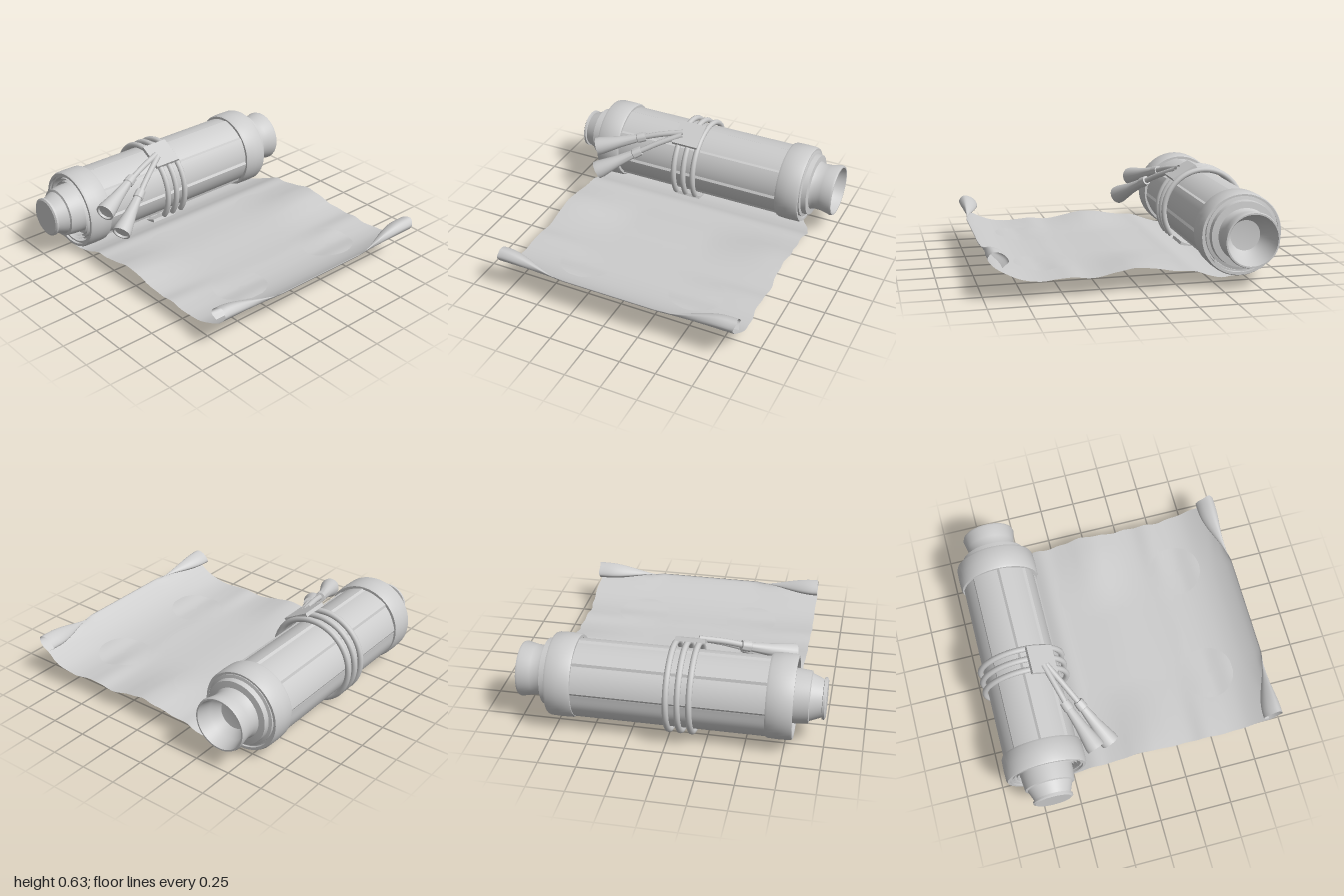
import * as THREE from 'three';
import { toCreasedNormals } from 'three/addons/utils/BufferGeometryUtils.js';

const CX = -0.68, CY = 0.32; // axis of the roll, parallel to z
const clay = new THREE.MeshStandardMaterial({ color: 0xcccccc, side: THREE.DoubleSide });
clay.name = 'pale grey';

const smooth = THREE.MathUtils.smoothstep;
const lerp = THREE.MathUtils.lerp;
const V = (x, y, z) => new THREE.Vector3(x, y, z);

// height of the open sheet: ripples are strongest along the two long edges
function height(x, z) {
  const edge = 0.2 + 0.8 * smooth(Math.abs(z), 0.25, 0.8);
  const bump = 0.05 * Math.exp(-(((x - 0.02) / 0.2) ** 2)) + 0.018 * Math.exp(-(((x - 0.48) / 0.08) ** 2));
  return 0.121 + edge * bump + 0.02 * smooth(x, 0.6, 0.75);
}

// cross-section of the sheet at depth z: under the roll, flat, then curling at the end
function sheetCurve(z) {
  const pts = [];
  for (let a = -180; a <= -80; a += 20) {
    const r = lerp(0.255, 0.275, (a + 180) / 100), t = a * Math.PI / 180;
    pts.push(V(CX + r * Math.cos(t), CY + r * Math.sin(t), z));
  }
  pts.push(V(-0.54, 0.058, z), V(-0.45, 0.085, z));
  for (let i = 0; i <= 11; i++) {
    const x = -0.35 + i * 0.1;
    pts.push(V(x, height(x, z), z));
  }
  const open = [[0.83, 0.165], [0.89, 0.193], [0.94, 0.224], [0.965, 0.245], [0.972, 0.253], [0.975, 0.259], [0.974, 0.263]];
  const curled = [[0.87, 0.19], [0.94, 0.235], [0.978, 0.29], [0.945, 0.332], [0.88, 0.312], [0.848, 0.265], [0.89, 0.23]];
  const t = smooth(Math.abs(z + 0.03), 0.33, 0.8);
  open.forEach((p, i) => pts.push(V(lerp(p[0], curled[i][0], t), lerp(p[1], curled[i][1], t), z)));
  return new THREE.CatmullRomCurve3(pts);
}

function sheetGeometry() {
  const nu = 120, nv = 48;
  const g = new THREE.PlaneGeometry(1, 1, nu, nv);
  const pos = g.attributes.position;
  for (let j = 0; j <= nv; j++) {
    for (let i = 0; i <= nu; i++) {
      const u = i / nu;
      // slightly ragged edges, narrower where the sheet goes under the roll
      const wear = 0.006 * Math.sin(u * 41) + 0.004 * Math.sin(u * 97 + 1);
      const back = lerp(-0.76, -0.88, smooth(u, 0.15, 0.3)) + wear - 0.015 * smooth(u, 0.6, 0.75);
      const z = lerp(back, 0.797 + wear * 0.4, j / nv);
      sheetGeometry.cache ??= new Map();
      const p = sheetCurve(z).getPoint(u);
      pos.setXYZ(j * (nu + 1) + i, p.x, p.y, z);
    }
  }
  g.computeVertexNormals();
  return g;
}

// flat medallion or ring that follows the sheet
function medallion(x, z, rx, rz, inner, lift) {
  const g = new THREE.RingGeometry(inner, 1, 48, 6);
  const pos = g.attributes.position;
  for (let i = 0; i < pos.count; i++) {
    const px = x + pos.getX(i) * rx, pz = z - pos.getY(i) * rz;
    pos.setXYZ(i, px, height(px, pz) + lift, pz);
  }
  g.computeVertexNormals();
  return g;
}

// turned part along z from [radius, z] pairs
function turned(points, segments = 56) {
  const g = new THREE.LatheGeometry(points.map(([r, z]) => new THREE.Vector2(r, z)), segments);
  g.rotateX(Math.PI / 2);
  return toCreasedNormals(g, 0.55);
}

// roll body: overlapping lengthwise layers with shallow steps
function bodyGeometry() {
  const shape = new THREE.Shape(), n = 96;
  for (let i = 0; i < n; i++) {
    const a = i / n * Math.PI * 2;
    const r = 0.246 + 0.011 * ((i % 12) / 11) ** 2;
    shape[i ? 'lineTo' : 'moveTo'](r * Math.cos(a), r * Math.sin(a));
  }
  shape.closePath();
  const hole = new THREE.Path();
  hole.absarc(0, 0, 0.236, 0, Math.PI * 2, true);
  shape.holes.push(hole);
  const g = new THREE.ExtrudeGeometry(shape, { depth: 1.56, bevelEnabled: false, curveSegments: 32 });
  g.translate(0, 0, -0.77);
  return toCreasedNormals(g, 0.3);
}

// inner windings seen at the roll ends
function windingGeometry() {
  const n = 120, g = new THREE.PlaneGeometry(1, 1, n, 1);
  for (let j = 0; j < 2; j++) for (let i = 0; i <= n; i++) {
    const a = i / n * Math.PI * 5, r = lerp(0.235, 0.18, i / n);
    g.attributes.position.setXYZ(j * (n + 1) + i, r * Math.cos(a), r * Math.sin(a), j ? 0.795 : -0.79);
  }
  g.computeVertexNormals();
  return g;
}

export function createModel() {
  const model = new THREE.Group();
  model.name = 'scroll';
  const add = (name, geometry, parent = model) => {
    const m = new THREE.Mesh(geometry, clay);
    m.name = name;
    parent.add(m);
    return m;
  };

  // open sheet with its medallions
  add('sheet', sheetGeometry());
  add('centreMedallion', medallion(0.24, -0.035, 0.23, 0.305, 0.001, 0.004));
  add('centreRing', medallion(0.24, -0.035, 0.255, 0.33, 0.95, 0.006));
  for (const [x, z] of [[-0.11, -0.47], [0.58, -0.47], [-0.1, 0.33], [0.59, 0.34]])
    add('cornerMedallion', medallion(x, z, 0.18, 0.185, 0.001, 0.004));

  // roll
  const roll = new THREE.Group();
  roll.name = 'roll';
  roll.position.set(CX, CY, 0);
  model.add(roll);
  add('body', bodyGeometry(), roll);
  add('windings', windingGeometry(), roll);
  for (const z of [0.72, -0.7]) {
    add('endBand', turned([[0.25, -0.085], [0.268, -0.085], [0.275, -0.07], [0.277, 0], [0.275, 0.07],
      [0.268, 0.085], [0.25, 0.085], [0.25, -0.085]]), roll).position.z = z;
  }
  add('frontInnerDisc', new THREE.CircleGeometry(0.236, 48), roll).position.z = 0.74;

  // rod ends: closed knob in front, hollow cup behind
  const rod = new THREE.Group();
  rod.name = 'rod';
  rod.position.set(CX, CY + 0.013, 0);
  model.add(rod);
  add('frontKnob', turned([[0.178, 0.73], [0.176, 0.82], [0.168, 0.895], [0.152, 0.9], [0.14, 0.93],
    [0.122, 0.975], [0.135, 0.978], [0.135, 0.992], [0.122, 1], [0, 1]]), rod);
  add('backCup', turned([[0, -0.84], [0.1, -0.85], [0.145, -0.91], [0.168, -1], [0.178, -1], [0.183, -0.985],
    [0.167, -0.91], [0.165, -0.86], [0.175, -0.835], [0.218, -0.83], [0.222, -0.795], [0.243, -0.79], [0.243, -0.74]]), rod);

  // three cord loops, ending at the plate beneath the sheet
  for (const z of [0.01, 0.085, 0.16]) {
    const loop = add('cordLoop', new THREE.TorusGeometry(0.287, 0.02, 10, 72, Math.PI * 1.8), roll);
    loop.rotation.z = -Math.PI * 0.2;
    loop.position.set(0.008, -0.005, z);
  }
  // clasp plates lying against the roll
  for (const [name, deg, r, width] of [['claspPlate', 61, 0.3, 0.19], ['lowerPlate', -68, 0.291, 0.13]]) {
    const a = deg * Math.PI / 180;
    const plate = add(name, new THREE.BoxGeometry(0.025, width, 0.195), roll);
    plate.position.set(r * Math.cos(a), r * Math.sin(a), 0.105);
    plate.rotation.z = a;
  }

  // two cords with flared tassels
  const tassels = [
    [V(-0.53, 0.595, 0.15), V(-0.435, 0.515, 0.47), V(-0.325, 0.43, 0.75)],
    [V(-0.51, 0.585, 0.15), V(-0.34, 0.435, 0.46), V(-0.215, 0.3, 0.7)],
  ];
  for (const [start, collar, end] of tassels) {
    const tassel = new THREE.Group();
    tassel.name = 'tassel';
    model.add(tassel);
    const mid = start.clone().lerp(collar, 0.5).add(V(0, 0.008, 0));
    add('tasselCord', new THREE.TubeGeometry(new THREE.CatmullRomCurve3([start, mid, collar]), 16, 0.02, 10), tassel);
    const len = collar.distanceTo(end);
    const bell = add('tasselBell', turned([[0, -0.06], [0.033, -0.06], [0.036, -0.03], [0.036, 0], [0.03, 0.005],
      [0.042, len * 0.45], [0.064, len * 0.9], [0.064, len], [0.054, len], [0.05, len - 0.015], [0, len - 0.02]], 24), tassel);
    bell.position.copy(collar);
    bell.lookAt(end);
  }
  return model;
}
